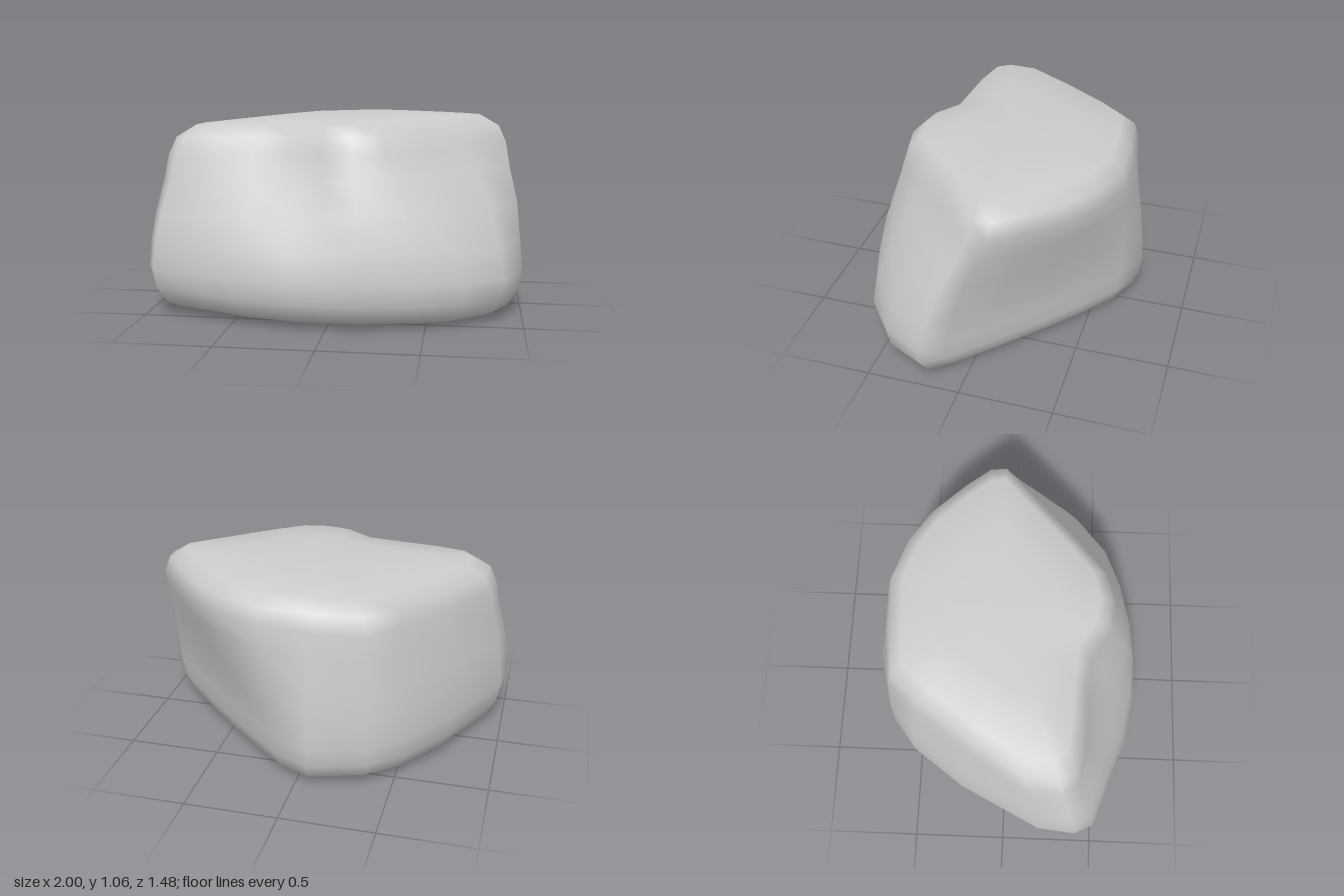
import * as THREE from 'three';
import { mergeVertices } from 'three/addons/utils/BufferGeometryUtils.js';

// Outline [x, z] near the foot and at the shoulder, point for point
const FOOT = [
  [-1, 0.4], [-0.95, 0.5], [-0.7, 0.59], [-0.46, 0.68], [-0.2, 0.73], [0, 0.735], [0.2, 0.72],
  [0.48, 0.655], [0.7, 0.58], [0.9, 0.42], [1, 0.21], [0.91, 0.09], [0.7, -0.12], [0.48, -0.33],
  [0.29, -0.5], [0.11, -0.65], [-0.08, -0.74], [-0.38, -0.65], [-0.55, -0.52], [-0.75, -0.25], [-0.98, 0.2],
];
const SHOULDER = [
  [-0.9, 0.3], [-0.84, 0.38], [-0.65, 0.41], [-0.42, 0.42], [-0.2, 0.43], [-0.03, 0.54], [0.12, 0.56],
  [0.28, 0.52], [0.48, 0.35], [0.7, 0.14], [0.9, -0.05], [0.89, -0.14], [0.78, -0.28], [0.61, -0.46],
  [0.43, -0.58], [0.2, -0.66], [-0.08, -0.65], [-0.36, -0.62], [-0.5, -0.46], [-0.7, -0.18], [-0.89, 0.12],
];

// Levels: height, blend from foot to shoulder, scale about the middle
const LEVELS = [
  [0.01, 0, 0], [0.01, 0, 0.55], [0.03, 0, 0.86], [0.06, 0, 0.93], [0.14, 0, 0.98], [0.25, 0, 1],
  [0.4, 0.13, 1], [0.57, 0.42, 1.01], [0.75, 0.74, 1], [0.88, 0.96, 1], [0.97, 1, 0.96],
  [1.03, 1, 0.85], [1.053, 1, 0.5], [1.06, 1, 0],
];
const MID_Z = -0.04;

function boulderGeometry() {
  const n = FOOT.length;
  const positions = [];
  const index = [];
  LEVELS.forEach(([y, blend, scale], level) => {
    for (let i = 0; i < n; i++) {
      const x = THREE.MathUtils.lerp(FOOT[i][0], SHOULDER[i][0], blend) * scale;
      const z = THREE.MathUtils.lerp(FOOT[i][1], SHOULDER[i][1], blend);
      // the crown rises gently and the base dips towards +x
      const tilt = (y > 0.5 ? 0.03 : -0.01) * x;
      positions.push(x, y + tilt, MID_Z + (z - MID_Z) * scale);
      if (level === LEVELS.length - 1) continue;
      const a = level * n + i;
      const b = level * n + (i + 1) % n;
      if (scale > 0) index.push(a, b, a + n);
      if (LEVELS[level + 1][2] > 0) index.push(b, b + n, a + n);
    }
  });
  const geometry = new THREE.BufferGeometry();
  geometry.setAttribute('position', new THREE.Float32BufferAttribute(positions, 3));
  geometry.setIndex(index);
  const merged = mergeVertices(geometry);
  merged.computeVertexNormals();
  return merged;
}

export function createModel() {
  const group = new THREE.Group();
  group.name = 'rock';
  const boulder = new THREE.Mesh(boulderGeometry(), new THREE.MeshStandardMaterial({ color: 0xcccccc }));
  boulder.name = 'boulder';
  group.add(boulder);
  return group;
}
